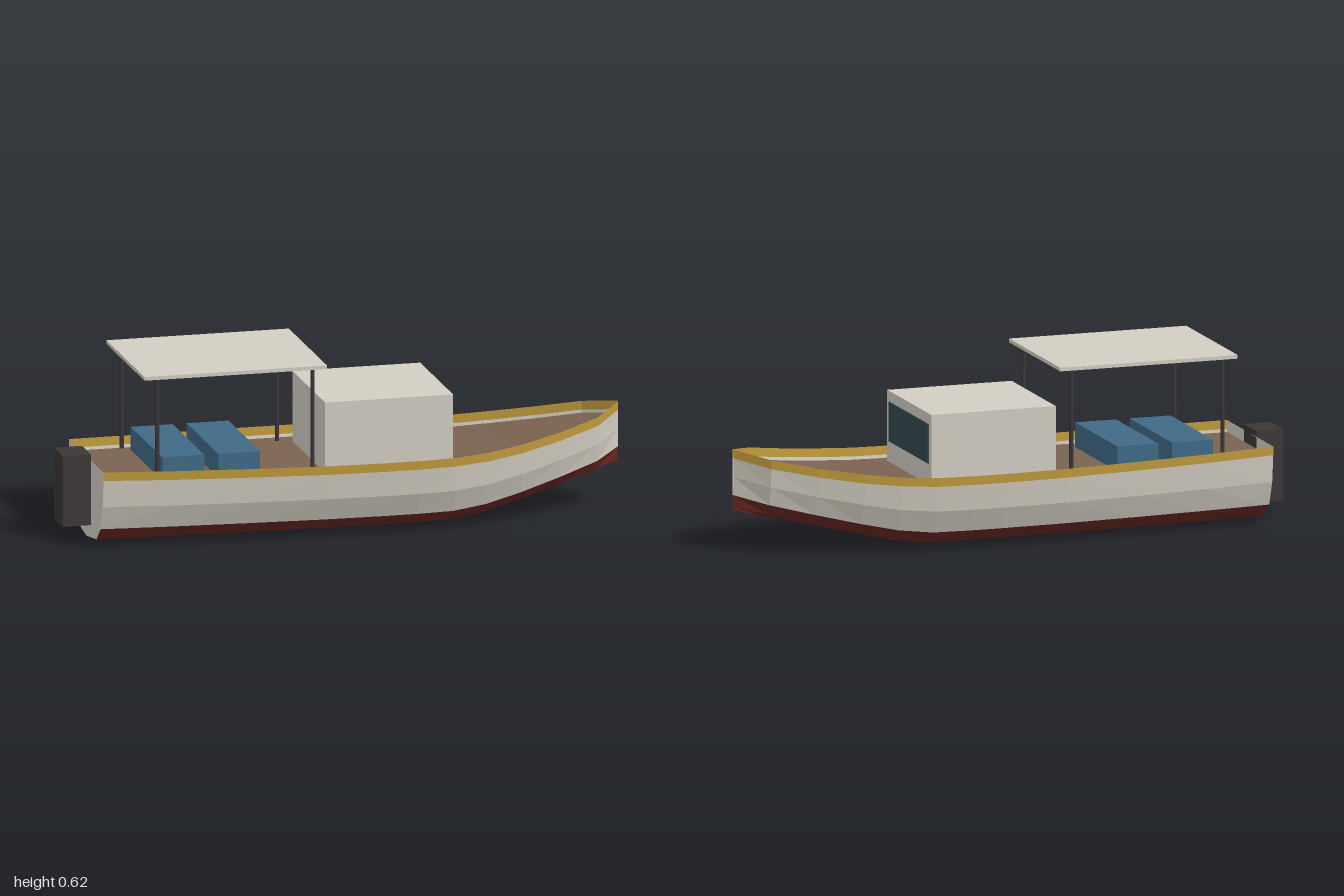
import * as THREE from 'three';

const mat = (name, color, double = false) => {
  const m = new THREE.MeshStandardMaterial({ color, flatShading: true });
  m.name = name;
  if (double) m.side = THREE.DoubleSide;
  return m;
};

// Hull stations, stern to bow: [x, half beam, keel height, sheer height]
const STATIONS = [
  [-0.9, 0.24, 0, 0.285], [-0.65, 0.263, 0, 0.279], [-0.4, 0.282, 0, 0.275],
  [-0.12, 0.298, 0, 0.271], [0.1, 0.304, 0, 0.27], [0.22, 0.303, 0, 0.27],
  [0.35, 0.292, 0, 0.27], [0.47, 0.272, 0.015, 0.276], [0.6, 0.24, 0.046, 0.289],
  [0.75, 0.185, 0.083, 0.31], [0.9, 0.117, 0.12, 0.337], [1, 0.004, 0.145, 0.36],
];
const BAND = 0.031;
const DECK_DROP = 0.042;

// Half section from keel to sheer as [y, z]
function section([, beam, keel, sheer]) {
  const d = sheer - keel;
  return [
    [keel, 0], [keel + 0.074 * d, 0.59 * beam], [keel + 0.25 * d, 0.82 * beam],
    [keel + 0.55 * d, 0.95 * beam], [sheer - BAND, 0.995 * beam], [sheer, beam],
  ];
}

// Skin between neighbouring rows of points; every row has the same length
function loft(rows, flip = false) {
  const pos = [];
  for (let i = 0; i + 1 < rows.length; i++) {
    for (let j = 0; j + 1 < rows[i].length; j++) {
      const a = rows[i][j], b = rows[i + 1][j], c = rows[i + 1][j + 1], d = rows[i][j + 1];
      const tris = flip ? [a, c, b, a, d, c] : [a, b, c, a, c, d];
      tris.forEach((p) => pos.push(...p));
    }
  }
  const g = new THREE.BufferGeometry();
  g.setAttribute('position', new THREE.Float32BufferAttribute(pos, 3));
  g.computeVertexNormals();
  return g;
}

export function createModel() {
  const boat = new THREE.Group();
  boat.name = 'boat';

  const white = mat('hullWhite', 0xd2cdc2, true);
  const red = mat('bottomRed', 0x662622, true);
  const gold = mat('trimGold', 0xc09a3c, true);
  const brown = mat('deckBrown', 0x7a6250, true);
  const blue = mat('crateBlue', 0x3f6a86);
  const dark = mat('metalDark', 0x3c3637);
  const glass = mat('windowGlass', 0x33474e);

  const add = (name, geometry, material, x = 0, y = 0, z = 0) => {
    const mesh = new THREE.Mesh(geometry, material);
    mesh.name = name;
    mesh.position.set(x, y, z);
    boat.add(mesh);
    return mesh;
  };
  // Box given by its limits, symmetric about z = 0
  const box = (name, material, x0, x1, y0, y1, halfZ) =>
    add(name, new THREE.BoxGeometry(x1 - x0, y1 - y0, 2 * halfZ), material,
      (x0 + x1) / 2, (y0 + y1) / 2, 0);

  // Hull skin in three painted strakes, mirrored
  for (const side of [1, -1]) {
    const label = side > 0 ? 'Front' : 'Back';
    const strake = (name, material, from, to) => {
      const rows = STATIONS.map((s) =>
        section(s).slice(from, to + 1).map(([y, z]) => [s[0], y, z * side]));
      add(name + label, loft(rows, side < 0), material);
    };
    strake('hullBottom', red, 0, 2);
    strake('hullSide', white, 2, 4);
    strake('gunwaleBand', gold, 4, 5);
  }

  // Flat stern closing the hull
  add('transom', loft([1, -1].map((side) =>
    section(STATIONS[0]).map(([y, z]) => [STATIONS[0][0], y, z * side]))), white);

  // Deck following the sheer
  add('deck', loft([1, -1].map((side) =>
    STATIONS.map(([x, beam, , sheer]) => [x, sheer - DECK_DROP, side * beam * 0.985])), true), brown);

  // Cabin with windscreen
  box('cabin', white, -0.105, 0.352, 0.23, 0.481, 0.228);
  box('windscreen', glass, 0.35, 0.357, 0.305, 0.444, 0.203);

  // Canopy on four posts
  box('canopy', white, -0.76, -0.108, 0.61, 0.623, 0.265);
  for (const x of [-0.71, -0.155]) {
    for (const z of [-0.247, 0.247]) {
      add('canopyPost', new THREE.CylinderGeometry(0.0075, 0.0075, 0.385, 8), dark, x, 0.4225, z);
    }
  }

  // Bench boxes across the deck
  for (const x of [-0.61, -0.41]) box('benchBox', blue, x - 0.075, x + 0.075, 0.216, 0.32, 0.22);

  // Outboard motor
  box('outboardMotor', dark, -1, -0.9, 0.053, 0.305, 0.063);

  return boat;
}
